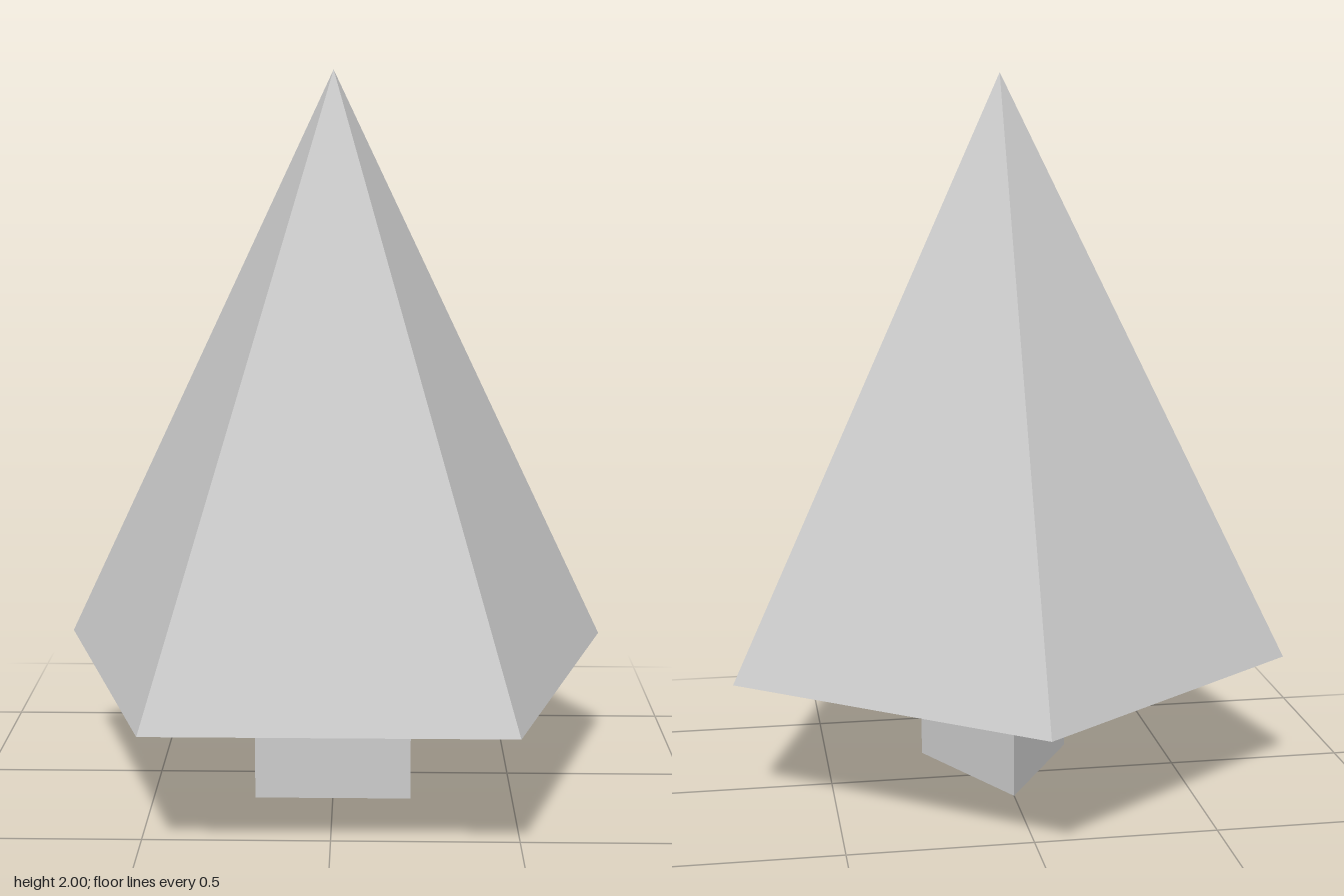
import * as THREE from 'three';

export function createModel() {
  const group = new THREE.Group();
  group.name = 'tree';
  const material = new THREE.MeshStandardMaterial({ color: 0xcccccc, flatShading: true });
  const axisZ = 0.075;   // both parts share an axis slightly forward of centre
  const crownBase = 0.37;

  // Adds a regular prism or pyramid with one corner pointing back
  function addPart(name, topRadius, radius, sides, bottom, top) {
    const geometry = new THREE.CylinderGeometry(topRadius, radius, top - bottom, sides, 1, false, Math.PI);
    const mesh = new THREE.Mesh(geometry, material);
    mesh.name = name;
    mesh.position.set(0, (bottom + top) / 2, axisZ);
    group.add(mesh);
  }

  // Triangular trunk
  addPart('trunk', 0.25, 0.25, 3, 0, crownBase);
  // Five-sided crown
  addPart('crown', 0, 0.814, 5, crownBase, 2);

  return group;
}
